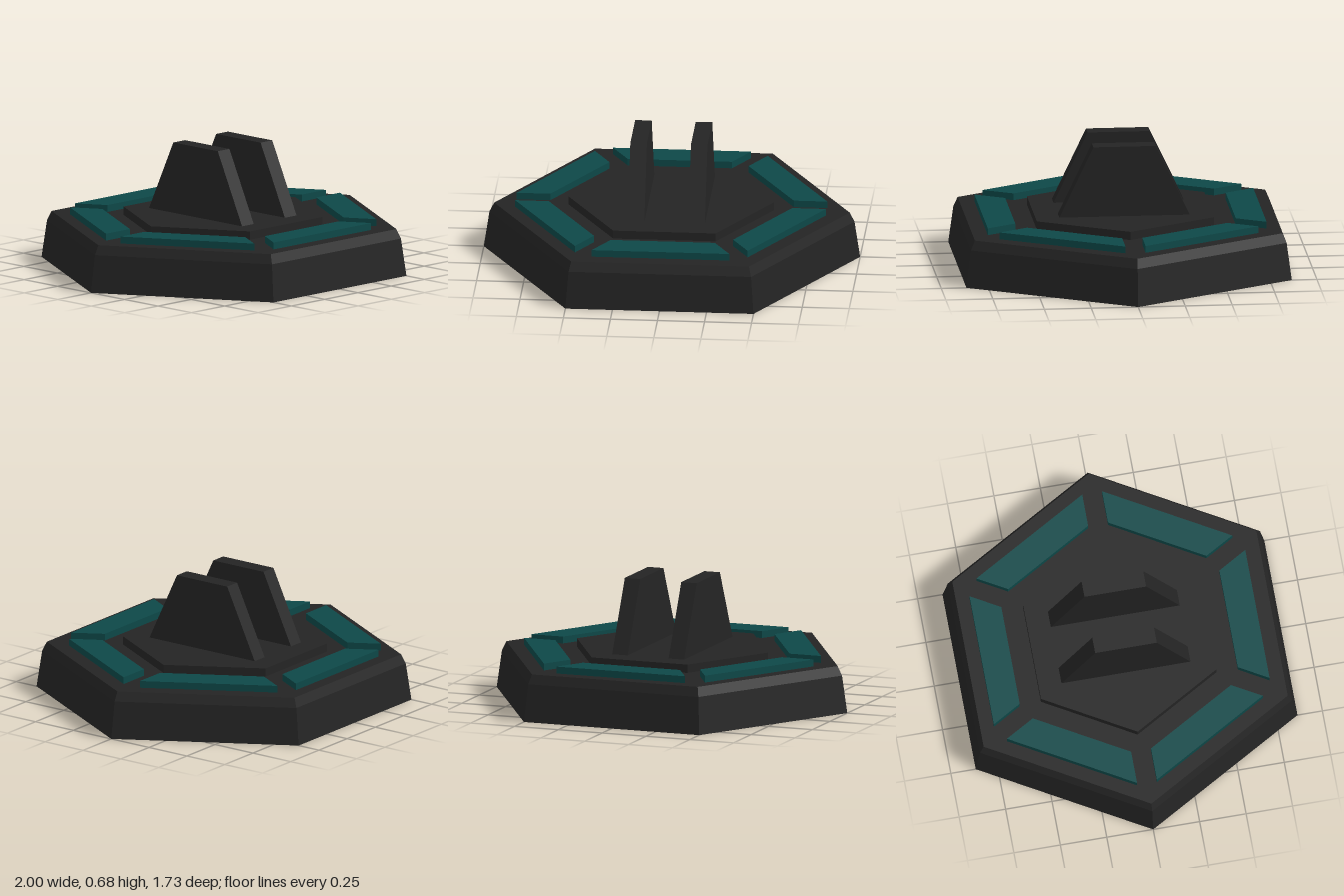
import * as THREE from 'three';

export function createModel() {
  const model = new THREE.Group();
  const charcoal = new THREE.MeshStandardMaterial({ name: 'charcoal', color: 0x242424, flatShading: true });
  const teal = new THREE.MeshStandardMaterial({ name: 'teal', color: 0x0d4848, flatShading: true });

  function add(name, geometry, material, parent = model) {
    const mesh = new THREE.Mesh(geometry, material);
    mesh.name = name;
    parent.add(mesh);
    return mesh;
  }

  // Outline points pushed to a given depth, without bevel
  function prism(points, depth) {
    const shape = new THREE.Shape(points.map(([x, y]) => new THREE.Vector2(x, y)));
    return new THREE.ExtrudeGeometry(shape, { depth, bevelEnabled: false });
  }

  // Hexagonal base with tapered sides and a chamfered rim
  const profile = [[0, 0], [1, 0], [0.97, 0.2], [0.945, 0.25], [0, 0.25]];
  add('base', new THREE.LatheGeometry(
    profile.map(([r, y]) => new THREE.Vector2(r, y)), 6, Math.PI / 6), charcoal);

  // Everything on top sits a hair off centre
  const top = new THREE.Group();
  top.name = 'topDetails';
  top.position.set(-0.004, 0, -0.003);
  model.add(top);

  // Raised hexagonal centre plate
  add('centrePlate', new THREE.CylinderGeometry(0.545, 0.545, 0.055, 6, 1, false, Math.PI / 6),
    charcoal, top).position.y = 0.2675;

  // Six trapezoid panels around the rim
  const panel = prism([[-0.367, -0.742], [0.367, -0.742], [0.277, -0.587], [-0.277, -0.587]], 0.047);
  panel.rotateX(-Math.PI / 2).translate(0, 0.24, 0);
  for (let i = 0; i < 6; i++) {
    add('rimPanel' + (i + 1), panel, teal, top).rotation.y = i * Math.PI / 3;
  }

  // Two upright trapezoid fins
  const fin = prism([[-0.352, 0.285], [0.352, 0.285], [0.166, 0.675], [-0.166, 0.675]], 0.088);
  fin.translate(0, 0, -0.044).rotateY(Math.PI / 2);
  for (const side of [-1, 1]) {
    add(side > 0 ? 'leftFin' : 'rightFin', fin, charcoal, top).position.set(side * 0.161, 0, -0.002);
  }

  return model;
}
